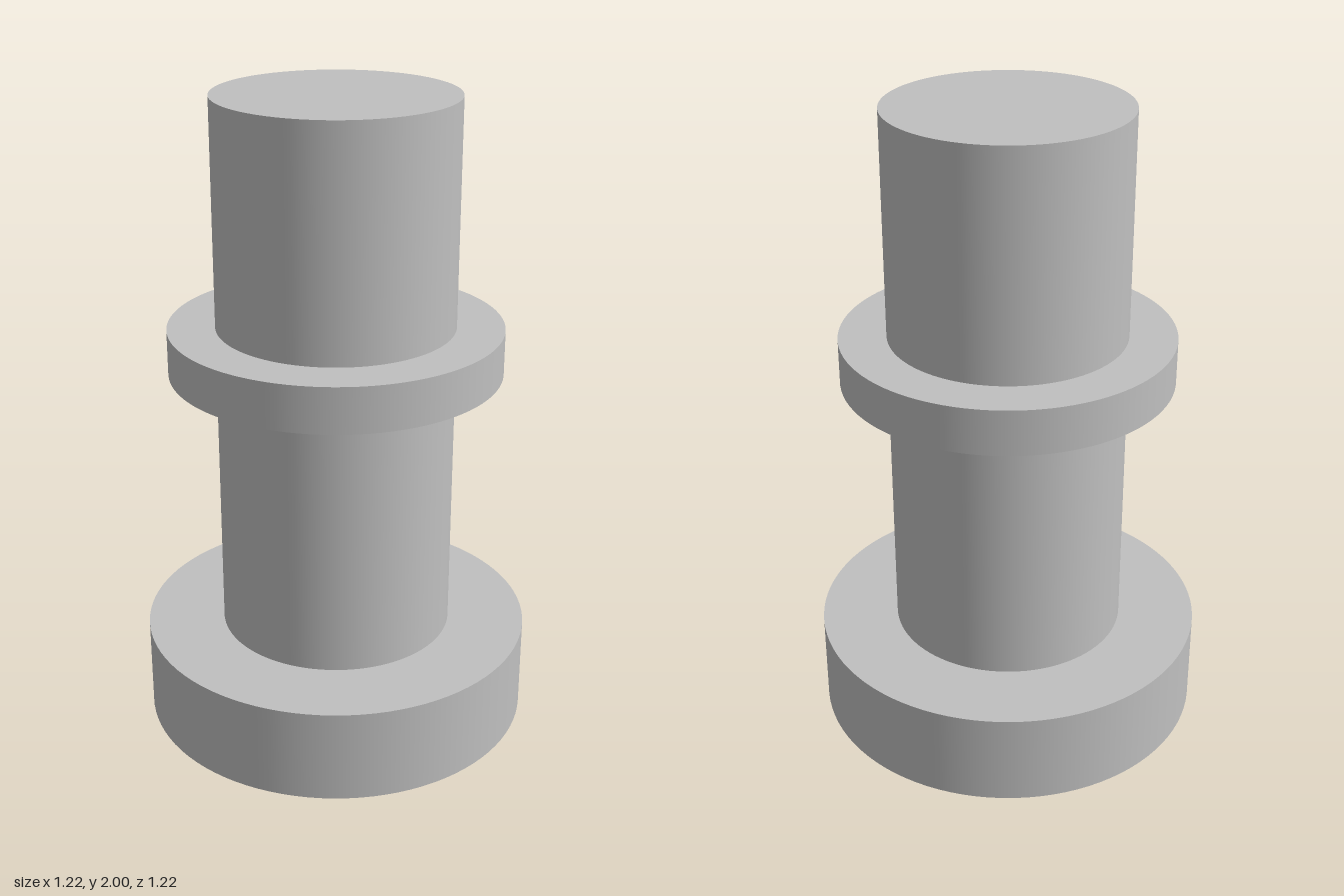
import * as THREE from 'three';

export function createModel() {
  const model = new THREE.Group();
  model.name = 'steppedShaft';
  const greyMetal = new THREE.MeshStandardMaterial({ color: 0xc0c0c0 });
  greyMetal.name = 'grey metal';

  // Upright cylinder between two heights
  function addCylinder(name, radius, bottom, top) {
    const geometry = new THREE.CylinderGeometry(radius, radius, top - bottom, 96);
    const mesh = new THREE.Mesh(geometry, greyMetal);
    mesh.name = name;
    mesh.position.y = (bottom + top) / 2;
    model.add(mesh);
  }

  addCylinder('baseFlange', 0.612, 0, 0.297);
  addCylinder('lowerShaft', 0.368, 0.297, 1.155);
  addCylinder('collar', 0.515, 1.155, 1.298);
  addCylinder('upperShaft', 0.368, 1.298, 2);

  return model;
}
